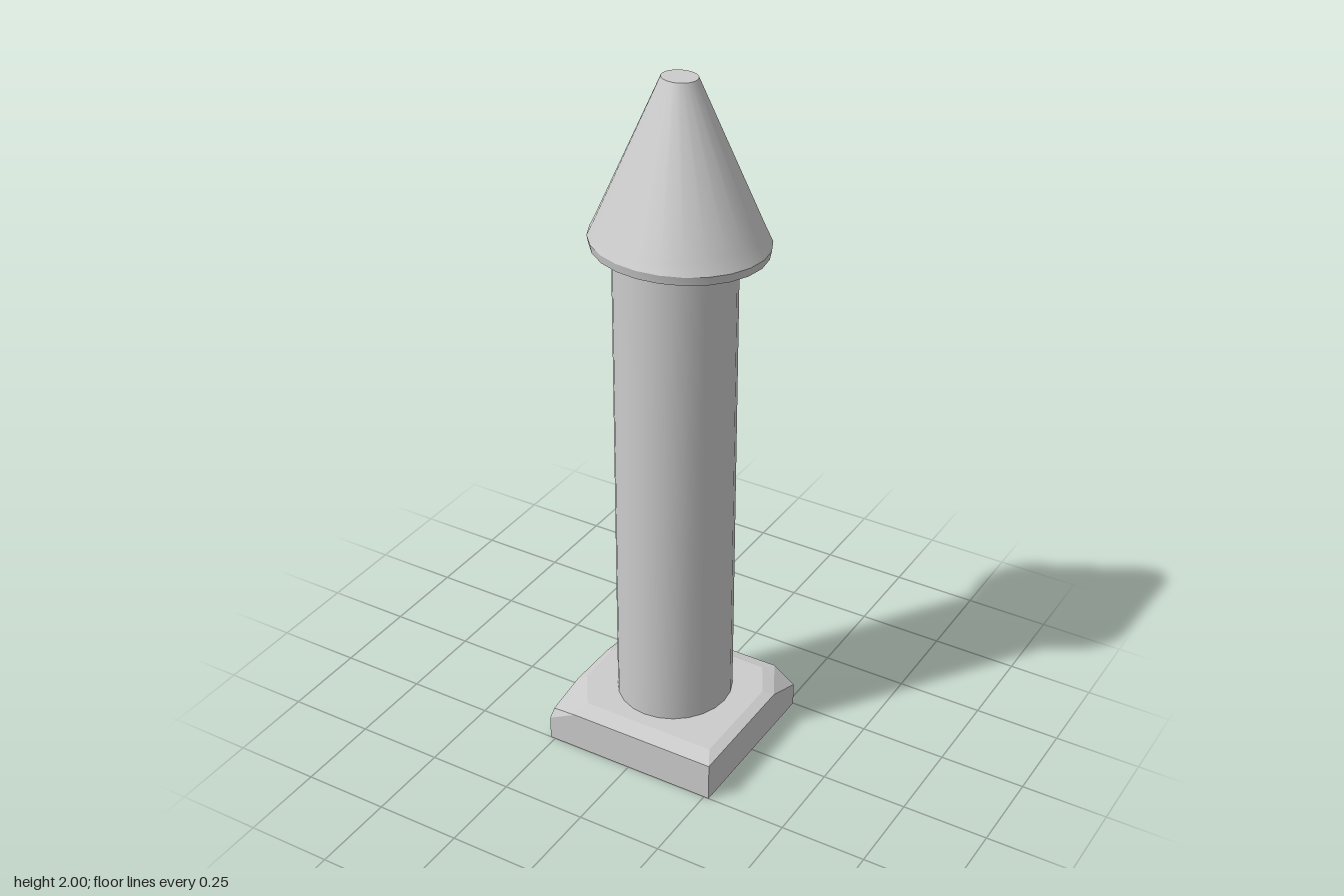
import * as THREE from 'three';
import { toCreasedNormals } from 'three/addons/utils/BufferGeometryUtils.js';

const grey = new THREE.MeshStandardMaterial({ color: 0xcccccc });
const stone = new THREE.MeshStandardMaterial({ color: 0xcccccc, flatShading: true });

function addMesh(group, name, geometry, material) {
  const mesh = new THREE.Mesh(geometry, material);
  mesh.name = name;
  group.add(mesh);
  return mesh;
}

// Square plinth with a bevelled top and three chipped corners.
// rim = top of the side walls, top = matching points on the upper face.
function plinthGeometry() {
  const rim = [
    [0.265, 0.115, 0.25], [0.265, 0.115, -0.125], [0.265, 0.07, -0.25], [0.2, 0.115, -0.25],
    [-0.16, 0.115, -0.25], [-0.265, 0.09, -0.25], [-0.265, 0.115, -0.06],
    [-0.265, 0.115, 0.1], [-0.265, 0.07, 0.25], [-0.18, 0.115, 0.25],
  ];
  const top = [
    [0.235, 0.125, 0.195], [0.235, 0.125, -0.11], [0.232, 0.115, -0.187], [0.18, 0.125, -0.21],
    [-0.15, 0.125, -0.22], [-0.245, 0.09, -0.21], [-0.245, 0.125, -0.05],
    [-0.24, 0.125, 0.09], [-0.258, 0.1, 0.238], [-0.17, 0.125, 0.195],
  ];
  const chips = [2, 5, 8];
  const foot = rim.map(([x, , z]) => [x, 0, z]);
  const positions = [];
  const tri = (...points) => points.forEach((p) => positions.push(...p));
  const n = rim.length;

  for (let i = 0; i < n; i++) {
    const j = (i + 1) % n;
    // wall and underside
    tri(foot[i], foot[j], rim[j]);
    tri(foot[i], rim[j], rim[i]);
    tri([0, 0, 0], foot[j], foot[i]);
    // bevel, with its diagonal meeting the chip
    if (chips.includes(j)) {
      tri(rim[i], rim[j], top[j]);
      tri(rim[i], top[j], top[i]);
    } else {
      tri(rim[i], rim[j], top[i]);
      tri(rim[j], top[j], top[i]);
    }
  }
  // chip faces, then the flat top between them
  chips.forEach((c) => tri(top[c - 1], top[c], top[c + 1]));
  const flat = top.filter((p, i) => !chips.includes(i));
  flat.forEach((p, i) => tri([0, 0.125, -0.02], p, flat[(i + 1) % flat.length]));

  const geometry = new THREE.BufferGeometry();
  geometry.setAttribute('position', new THREE.Float32BufferAttribute(positions, 3));
  geometry.computeVertexNormals();
  return geometry;
}

export function createModel() {
  const group = new THREE.Group();
  group.name = 'pillar';

  addMesh(group, 'plinth', plinthGeometry(), stone);

  // Shaft, very slightly oval
  const shaft = toCreasedNormals(new THREE.CylinderGeometry(1, 1, 1.42, 24), 0.7);
  shaft.scale(0.165, 1, 0.172);
  addMesh(group, 'shaft', shaft, grey).position.set(-0.004, 0.82, -0.018);

  // Conical cap with a thin rim and a cut-off tip, narrower front to back
  const profile = [
    [0, 1.522], [0.14, 1.522], [0.2, 1.53], [0.245, 1.53], [0.25, 1.555],
    [0.232, 1.592], [0.05, 2], [0, 2],
  ].map(([x, y]) => new THREE.Vector2(x, y));
  const cap = toCreasedNormals(new THREE.LatheGeometry(profile, 24), 0.4);
  cap.scale(1, 1, 0.872);
  addMesh(group, 'cap', cap, grey).position.set(-0.003, 0, -0.037);

  return group;
}
